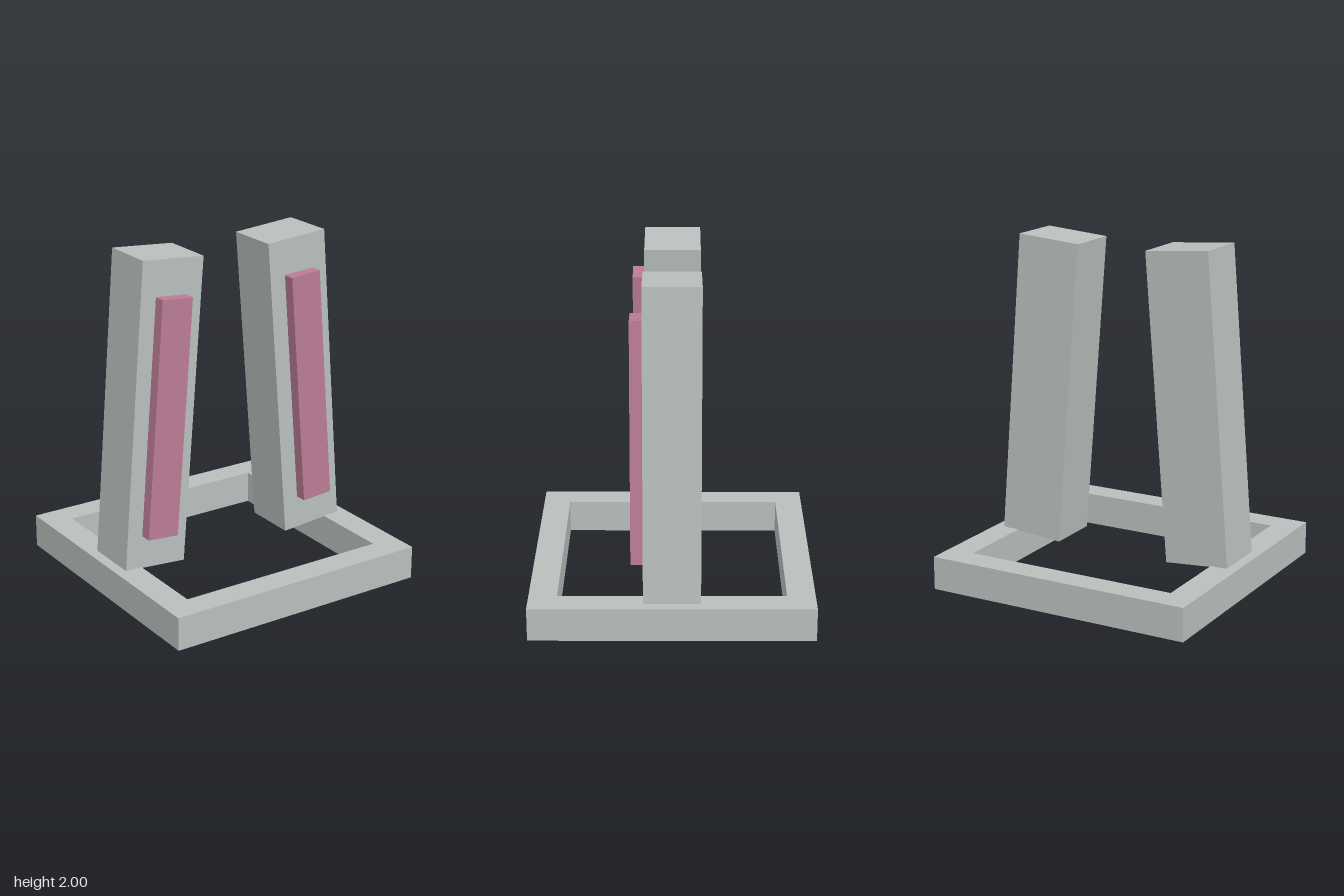
import * as THREE from 'three';

export function createModel() {
  const grey = new THREE.MeshStandardMaterial({ color: 0xb8bfbc });
  grey.name = 'pale grey';
  const pink = new THREE.MeshStandardMaterial({ color: 0xbb7b96 });
  pink.name = 'dusty pink';

  const model = new THREE.Group();
  const add = (name, geometry, material, parent) => {
    const mesh = new THREE.Mesh(geometry, material);
    mesh.name = name;
    parent.add(mesh);
    return mesh;
  };

  // Square base frame with an open centre
  const square = (Path, h) => new Path([[-h, -h], [h, -h], [h, h], [-h, h]].map(([x, y]) => new THREE.Vector2(x, y)));
  const outline = square(THREE.Shape, 0.81);
  outline.holes.push(square(THREE.Path, 0.648));
  const frame = new THREE.ExtrudeGeometry(outline, { depth: 0.197, bevelEnabled: false });
  frame.rotateX(-Math.PI / 2);
  add('baseFrame', frame, grey, model);

  // Two posts leaning towards each other, each with a raised front panel
  for (const [side, s] of [['left', 1], ['right', -1]]) {
    const tower = new THREE.Group();
    tower.name = side + 'Tower';
    tower.position.set(s * 0.484, 1.084, 0);
    tower.rotation.z = s * 0.08;
    add(side + 'Post', new THREE.BoxGeometry(0.39, 1.806, 0.325), grey, tower);
    add(side + 'Panel', new THREE.BoxGeometry(0.194, 1.4, 0.073), pink, tower)
      .position.set(s * 0.002, -0.006, 0.197);
    model.add(tower);
  }
  return model;
}
